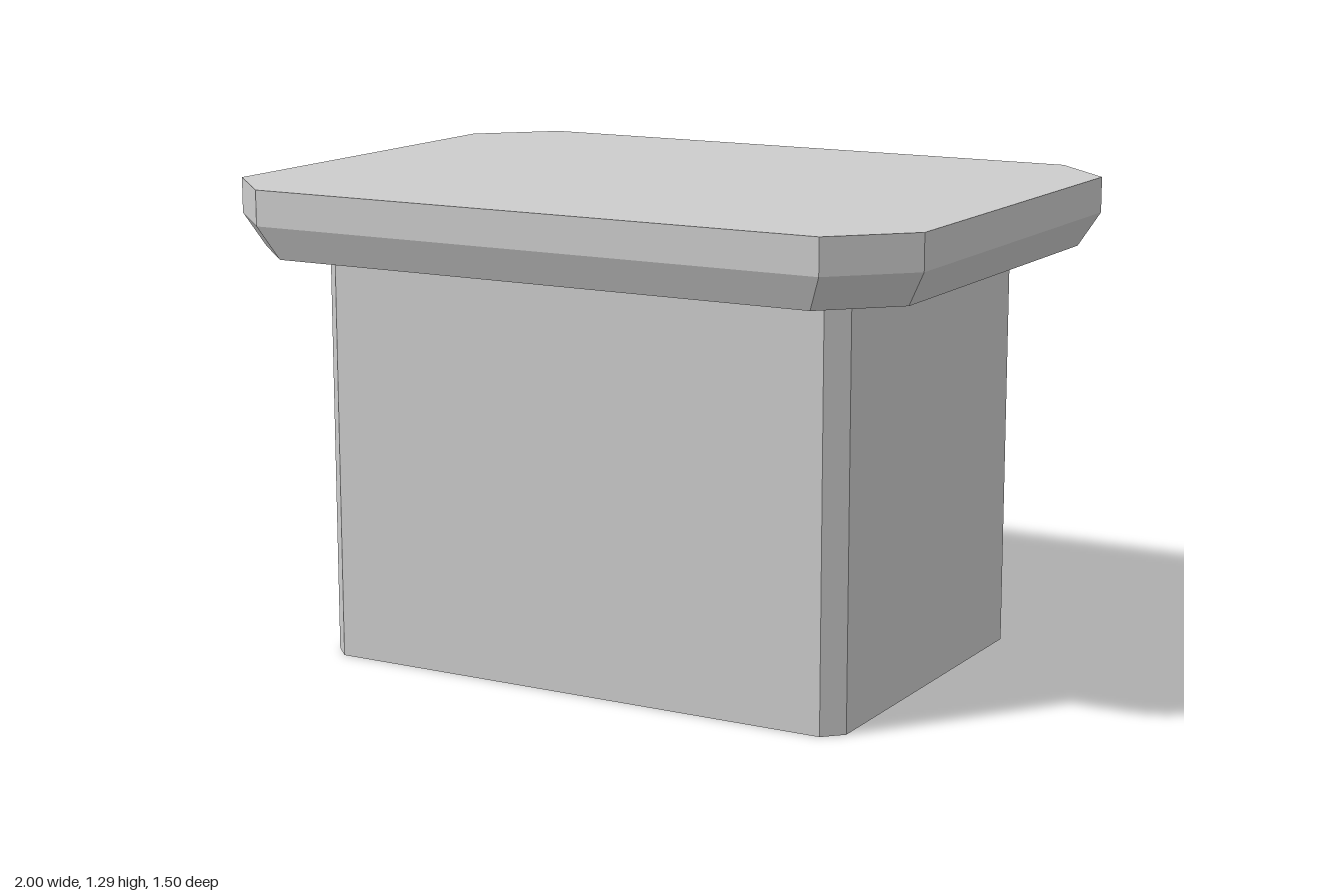
import * as THREE from 'three';

// Rectangle with cut corners at height y: half width, half depth, corner cut
function ring(y, w, d, c) {
  return [
    [w, d - c], [w - c, d], [c - w, d], [-w, d - c],
    [-w, c - d], [c - w, -d], [w - c, -d], [w, c - d],
  ].map(([x, z]) => [x, y, z]);
}

// Join successive rings with quads, optionally closing the last one
function loft(rings, closeTop) {
  const pos = [];
  const tri = (...corners) => corners.forEach((p) => pos.push(...p));
  for (let r = 0; r < rings.length - 1; r++) {
    const lo = rings[r], hi = rings[r + 1];
    for (let i = 0; i < 8; i++) {
      const j = (i + 1) % 8;
      tri(lo[j], lo[i], hi[i]);
      tri(lo[j], hi[i], hi[j]);
    }
  }
  if (closeTop) {
    const top = rings[rings.length - 1];
    for (let i = 1; i < 7; i++) tri(top[0], top[i + 1], top[i]);
  }
  const geometry = new THREE.BufferGeometry();
  geometry.setAttribute('position', new THREE.Float32BufferAttribute(pos, 3));
  geometry.computeVertexNormals();
  return geometry;
}

export function createModel() {
  const group = new THREE.Group();
  group.name = 'pedestal';
  const stone = new THREE.MeshStandardMaterial({
    name: 'light grey', color: 0xcccccc, side: THREE.DoubleSide, flatShading: true,
  });
  const add = (name, geometry) => {
    const mesh = new THREE.Mesh(geometry, stone);
    mesh.name = name;
    group.add(mesh);
  };

  // Hollow body, open at the bottom
  const neck = ring(1.11, 0.773, 0.535, 0.05);
  add('body', loft([ring(0, 0.773, 0.535, 0.05), neck], false));

  // Overhanging top: flat underside, sloped lower edge, upright rim and lid
  add('top', loft([
    neck,
    ring(1.11, 0.948, 0.71, 0.175),
    ring(1.2, 1, 0.75, 0.185),
    ring(1.295, 1, 0.75, 0.185),
  ], true));

  return group;
}
